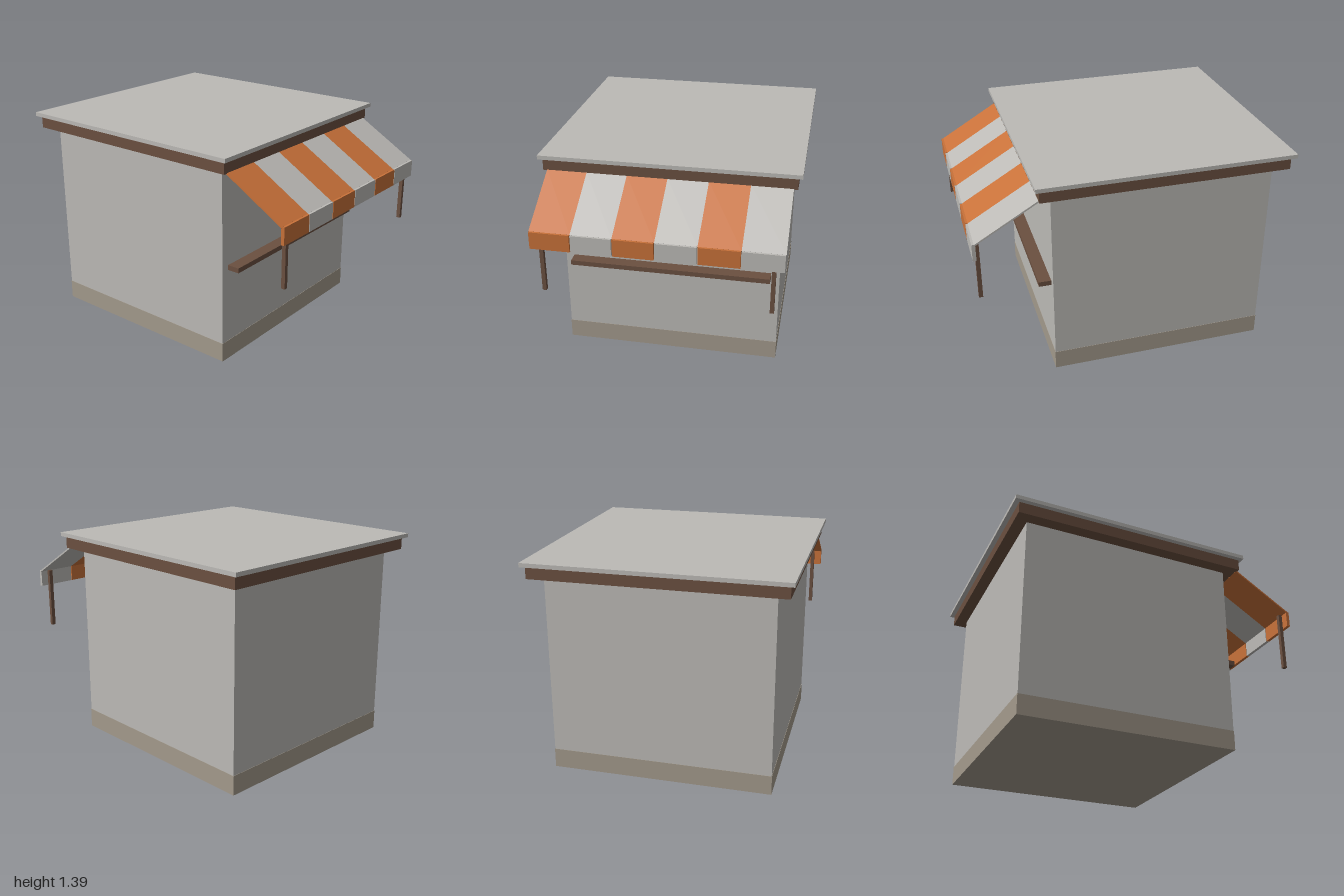
import * as THREE from 'three';

const material = (name, color) => {
  const m = new THREE.MeshStandardMaterial({ color });
  m.name = name;
  return m;
};

export function createModel() {
  const plaster = material('pale grey', 0xbcbab6);
  const wood = material('brown wood', 0x6b5040);
  const orange = material('orange cloth', 0xc87139);
  const stone = material('beige stone', 0xa39a8c);

  const group = new THREE.Group();
  group.name = 'kiosk';

  // Box given by its lower and upper corners
  const box = (name, mat, [x0, y0, z0], [x1, y1, z1]) => {
    const mesh = new THREE.Mesh(new THREE.BoxGeometry(x1 - x0, y1 - y0, z1 - z0), mat);
    mesh.position.set((x0 + x1) / 2, (y0 + y1) / 2, (z0 + z1) / 2);
    mesh.name = name;
    group.add(mesh);
    return mesh;
  };

  // Body and roof
  box('walls', plaster, [-0.892, 0.002, -0.705], [0.52, 1.3, 0.705]);
  box('plinth', stone, [-0.894, 0, -0.707], [0.522, 0.127, 0.707]);
  box('roofTrim', wood, [-0.97, 1.285, -0.785], [0.6, 1.36, 0.785]);
  box('roofSlab', plaster, [-1, 1.364, -0.81], [0.625, 1.39, 0.81]);
  box('roofCore', wood, [-0.95, 1.355, -0.765], [0.58, 1.366, 0.765]);

  // Serving shelf
  box('shelf', wood, [0.515, 0.62, -0.65], [0.6, 0.652, 0.65]);

  // Awning: sloping strips, each with a hanging flap
  const top = new THREE.Vector2(0.592, 1.288);
  const low = new THREE.Vector2(0.984, 1.056);
  const run = low.clone().sub(top);
  const width = 1.52 / 6;
  for (let i = 0; i < 6; i++) {
    const z = 0.76 - width * (i + 0.5);
    const cloth = i % 2 ? plaster : orange;
    const strip = new THREE.Mesh(new THREE.BoxGeometry(run.length(), 0.01, width), cloth);
    strip.position.set((top.x + low.x) / 2, (top.y + low.y) / 2, z);
    strip.rotation.z = run.angle();
    strip.name = 'awningStrip';
    group.add(strip);
    box('awningFlap', cloth, [0.978, 0.95, z - 0.124], [1, 1.06, z + 0.124]);
  }

  // Awning posts
  for (const z of [-0.695, 0.695]) {
    box('awningPost', wood, [0.953, 0.655, z - 0.0125], [0.978, 1.057, z + 0.0125]);
  }

  return group;
}
